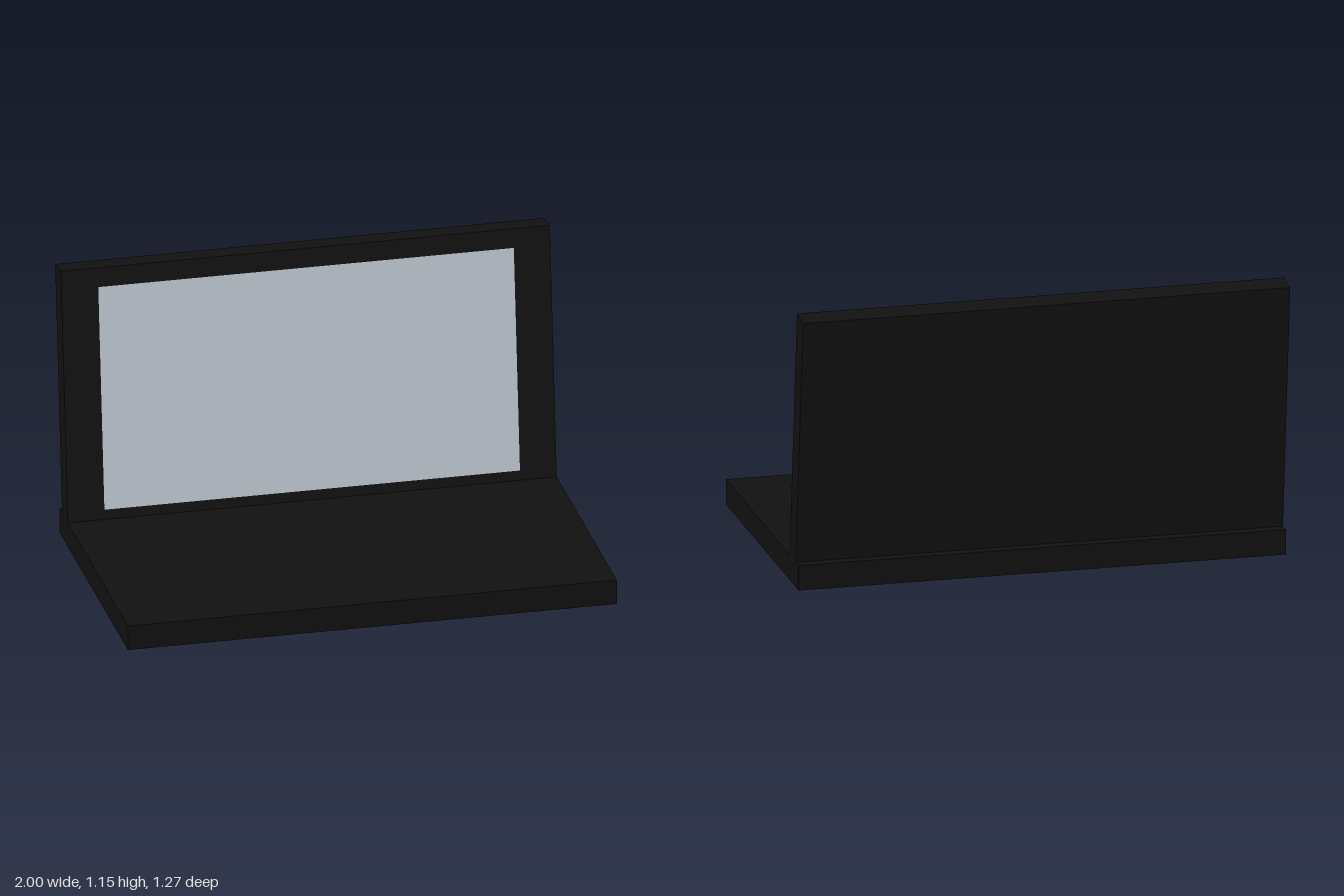
import * as THREE from 'three';

export function createModel() {
  const model = new THREE.Group();
  model.name = 'laptop';
  const shell = new THREE.MeshStandardMaterial({ color: 0x111111 });
  const glass = new THREE.MeshStandardMaterial({ color: 0xc1c9d1 });

  function addPart(parent, name, geometry, material, x, y, z) {
    const mesh = new THREE.Mesh(geometry, material);
    mesh.name = name;
    mesh.position.set(x, y, z);
    parent.add(mesh);
  }

  // Flat base slab
  const baseHeight = 0.104;
  addPart(model, 'base', new THREE.BoxGeometry(2, baseHeight, 1.197), shell, 0, baseHeight / 2, 0.0375);

  // Lid leaning back; its origin is where its front face meets the base top
  const lid = new THREE.Group();
  lid.name = 'lid';
  lid.position.set(0, baseHeight, -0.412);
  lid.rotation.x = -0.1155;
  model.add(lid);

  // Lid panel, its lower edge sunk into the base
  const lidTop = 1.05, sunk = 0.05, thickness = 0.102;
  addPart(lid, 'lidPanel', new THREE.BoxGeometry(2, lidTop + sunk, thickness), shell,
    0, (lidTop - sunk) / 2, -thickness / 2);

  // Screen lying just proud of the panel
  addPart(lid, 'screen', new THREE.PlaneGeometry(1.7, 0.929), glass, 0, 0.506, 0.002);

  return model;
}
